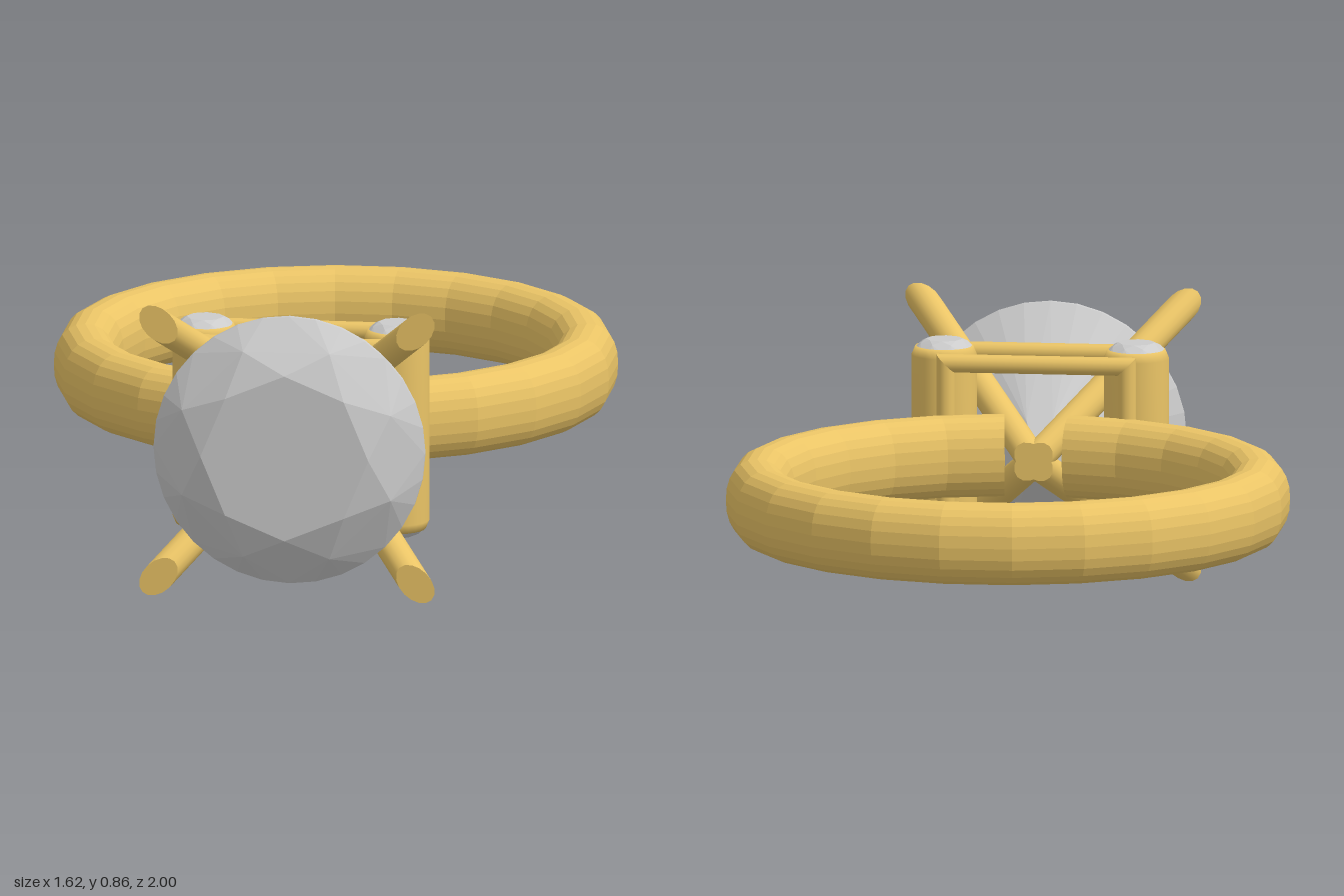
import * as THREE from 'three';
import { ConvexGeometry } from 'three/addons/geometries/ConvexGeometry.js';

const MID = 0.436; // height of the ring's middle plane
const gold = new THREE.MeshStandardMaterial({ color: 0xeac466 });
const goldFlat = new THREE.MeshStandardMaterial({ color: 0xeac466, flatShading: true, side: THREE.DoubleSide });
const stone = new THREE.MeshStandardMaterial({ color: 0xcccccc, flatShading: true });

function part(name, geometry, material, parent) {
  const mesh = new THREE.Mesh(geometry, material);
  mesh.name = name;
  parent.add(mesh);
  return mesh;
}

// Round brilliant cut facing +z, with the girdle at z = 0
function brilliant() {
  const R = 0.396, crown = 0.13, girdle = 0.016, depth = 0.35;
  const points = [];
  const ring = (count, r, z, turn = 0) => {
    for (let i = 0; i < count; i++) {
      const a = ((i + turn) / count) * Math.PI * 2;
      points.push(new THREE.Vector3(r * Math.cos(a), r * Math.sin(a), z));
    }
  };
  ring(8, 0.245, crown);              // table
  ring(8, 0.33, 0.086, 0.5);          // star facet tips
  ring(32, R, girdle);
  ring(32, R, 0);
  ring(8, 0.1, -depth * (1 - 0.1 * Math.cos(Math.PI / 8) / R), 0.5); // lower facet tips
  points.push(new THREE.Vector3(0, 0, -depth));
  return new ConvexGeometry(points);
}

// Rod along y whose ends are mitred at 45 degrees, the longer side at +x
function mitredRod(length, radius) {
  const g = new THREE.CylinderGeometry(radius, radius, length, 12);
  const p = g.attributes.position;
  for (let i = 0; i < p.count; i++) {
    p.setY(i, p.getY(i) + Math.sign(p.getY(i)) * p.getX(i));
  }
  return g;
}

export function createModel() {
  const model = new THREE.Group();
  model.name = 'gemRing';

  // Band: an oval section swept round, with a gap at the setting
  const band = new THREE.Group();
  band.name = 'band';
  band.position.set(0, MID + 0.004, -0.19);
  model.add(band);
  const section = [];
  for (let i = 0; i <= 24; i++) {
    const a = (i / 24) * Math.PI * 2, c = Math.cos(a), s = Math.sin(a);
    section.push(new THREE.Vector2(
      0.726 + 0.091 * Math.sign(c) * Math.abs(c) ** 0.9,
      0.12 * Math.sign(s) * Math.abs(s) ** 0.9));
  }
  const gap = Math.PI / 24;
  part('bandBody', new THREE.LatheGeometry(section, 23, gap, Math.PI * 2 - 2 * gap), goldFlat, band);
  for (const s of [1, -1]) {
    part('bandEnd', new THREE.ShapeGeometry(new THREE.Shape(section.slice(0, -1))), goldFlat, band)
      .rotation.y = s * gap - Math.PI / 2;
  }

  // Main stone
  const gem = brilliant();
  part('mainStone', gem, stone, model).position.set(0, MID, 0.87);

  // Four prongs fanning out from the base, cut flat at both ends
  for (let k = 0; k < 4; k++) {
    const g = new THREE.CylinderGeometry(0.045, 0.045, 0.49, 16).rotateX(Math.PI / 2).scale(1.47, 1, 1);
    const p = g.attributes.position;
    for (let i = 0; i < p.count; i++) {
      p.setX(i, p.getX(i) + 0.53 * (p.getZ(i) / 0.49 + 0.5));
    }
    g.rotateZ(Math.PI / 4 + k * Math.PI / 2);
    g.computeVertexNormals();
    part('prong', g, gold, model).position.set(0, MID, 0.695);
  }

  // Upright posts with a small stone set in each end
  const profile = [[0, -0.296], [0.084, -0.296], [0.095, -0.27], [0.095, 0.27], [0.084, 0.296], [0, 0.296]]
    .map(([r, y]) => new THREE.Vector2(r, y));
  for (const s of [1, -1]) {
    const post = new THREE.Group();
    post.name = 'post';
    post.position.set(s * 0.28, MID + 0.011, 0.618);
    model.add(post);
    part('postBody', new THREE.LatheGeometry(profile, 24), gold, post);
    for (const end of [1, -1]) {
      const accent = part('accentStone', gem, stone, post);
      accent.scale.setScalar(0.215);
      accent.position.y = end * 0.288;
      accent.rotation.x = -end * Math.PI / 2;
    }
  }

  // Rectangular wire frames in front of and behind the posts
  const w = 0.264, h = 0.262, r = 0.027;
  for (const z of [0.516, 0.728]) {
    const frame = new THREE.Group();
    frame.name = 'wireFrame';
    frame.position.set(0, MID + 0.011, z);
    model.add(frame);
    for (const s of [1, -1]) {
      const upright = part('frameUpright', mitredRod(2 * h, r), gold, frame);
      upright.position.x = s * w;
      upright.rotation.z = s > 0 ? 0 : Math.PI;
      const rail = part('frameRail', mitredRod(2 * w, r), gold, frame);
      rail.position.y = s * h;
      rail.rotation.z = s * Math.PI / 2;
    }
  }
  return model;
}
